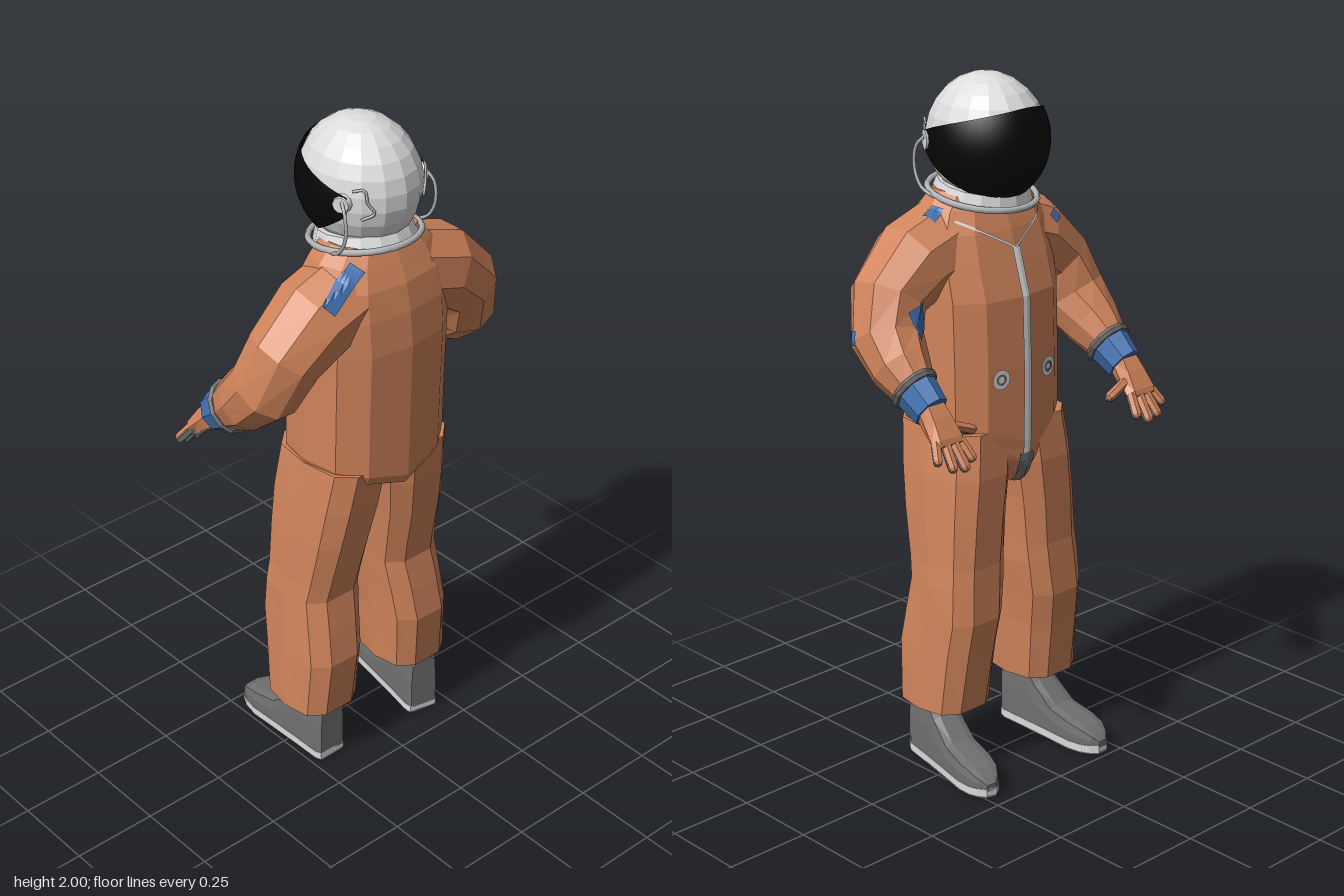
import * as THREE from 'three';
import { ParametricGeometry } from 'three/addons/geometries/ParametricGeometry.js';

const V = (x, y, z) => new THREE.Vector3(x, y, z);
const CX = -0.012; // the body's own centre line

const paint = (name, color, side = THREE.FrontSide) => {
  const m = new THREE.MeshStandardMaterial({ color, side });
  m.name = name;
  return m;
};

// faceted normals
function facet(geo) {
  const g = geo.index ? geo.toNonIndexed() : geo;
  g.computeVertexNormals();
  return g;
}

// closed skin through rings of equal point count, oriented outward
function loft(rings) {
  const n = rings[0].length, pts = rings.flat(), idx = [];
  for (let i = 0; i < rings.length - 1; i++)
    for (let j = 0; j < n; j++) {
      const a = i * n + j, b = i * n + (j + 1) % n;
      idx.push(a, a + n, b + n, a, b + n, b);
    }
  const last = (rings.length - 1) * n;
  for (let j = 1; j < n - 1; j++) idx.push(0, j, j + 1, last, last + j + 1, last + j);
  let volume = 0;
  for (let i = 0; i < idx.length; i += 3)
    volume += pts[idx[i]].dot(pts[idx[i + 1]].clone().cross(pts[idx[i + 2]]));
  if (volume < 0) idx.reverse();
  const g = new THREE.BufferGeometry().setFromPoints(pts);
  g.setIndex(idx);
  return facet(g);
}

// horizontal rounded-box ring; drop lowers it towards the middle
function ring(y, x0, x1, z0, z1, n, power, drop = 0) {
  const soft = v => Math.sign(v) * Math.abs(v) ** (2 / power);
  return Array.from({ length: n }, (_, i) => {
    const a = i / n * Math.PI * 2, c = soft(Math.cos(a));
    return V((x0 + x1) / 2 + (x1 - x0) / 2 * c, y - drop * (1 - Math.abs(c)), (z0 + z1) / 2 + (z1 - z0) / 2 * soft(Math.sin(a)));
  });
}

// oval rings that follow a path of [point, radius across, radius in depth]
function limb(path, n) {
  return loft(path.map(([p, ru, rw], i) => {
    const t = path[Math.min(i + 1, path.length - 1)][0].clone().sub(path[Math.max(i - 1, 0)][0]).normalize();
    const u = t.clone().cross(V(0, 0, 1)).normalize(), w = t.clone().cross(u);
    return Array.from({ length: n }, (_, j) => {
      const a = j / n * Math.PI * 2;
      return p.clone().addScaledVector(u, ru * Math.cos(a)).addScaledVector(w, rw * Math.sin(a));
    });
  }));
}

export function createModel() {
  const root = new THREE.Group();
  root.name = 'astronaut';
  const orange = paint('suit orange', 0xd0845b);
  const blue = paint('patch blue', 0x3f70b0, THREE.DoubleSide);
  const gray = paint('rubber gray', 0x707070);
  const white = paint('helmet white', 0xdcdcdc, THREE.DoubleSide);
  const silver = paint('metal silver', 0xb4b6b8, THREE.DoubleSide);
  const black = paint('visor black', 0x060606, THREE.DoubleSide);
  const add = (name, geo, mat, parent = root) => {
    const m = new THREE.Mesh(geo, mat);
    m.name = name;
    parent.add(m);
    return m;
  };
  const tube = (name, pts, r, mat, parent) =>
    add(name, new THREE.TubeGeometry(new THREE.CatmullRomCurve3(pts), 16, r, 6), mat, parent);

  // torso, ending in a point at the crotch: [y, half width, front z, back z, drop]
  const torso = add('torso', loft([
    [0.86, 0.03, -0.07, 0.1, 0], [0.95, 0.12, -0.09, 0.19, 0.03], [1.015, 0.21, -0.09, 0.255, 0.06], [1.045, 0.222, -0.092, 0.268, 0.06],
    [1.2, 0.222, -0.092, 0.272, 0], [1.4, 0.222, -0.085, 0.278, 0], [1.5, 0.222, -0.055, 0.267, 0],
    [1.58, 0.21, -0.03, 0.25, 0], [1.64, 0.178, -0.005, 0.222, 0], [1.685, 0.135, 0.01, 0.2, 0]
  ].map(([y, w, f, b, d]) => ring(y, CX - w, CX + w, f, b, 12, 2.5, d))), orange);

  // trouser legs: [y, inner x, outer x, front z, back z]
  const legs = [1, -1].map(s => add('trouserLeg', loft([
    [0.2, 0.055, 0.27, -0.06, 0.18], [0.38, 0.045, 0.262, -0.085, 0.197], [0.48, 0.036, 0.256, -0.1, 0.18],
    [0.58, 0.024, 0.25, -0.092, 0.158], [0.64, 0.02, 0.243, -0.088, 0.17], [0.78, 0.008, 0.235, -0.09, 0.203],
    [0.9, -0.01, 0.225, -0.09, 0.226], [1.03, -0.02, 0.208, -0.078, 0.245]
  ].map(([y, a, b, f, k]) => s > 0 ? ring(y, a, b, f, k, 10, 2.9) : ring(y, 2 * CX - b, 2 * CX - a, f, k, 10, 2.9))), orange));

  // boots: [z, half width, top height]
  const last = [[0.145, 0.042, 0.195], [0.125, 0.049, 0.2], [0.03, 0.05, 0.2], [0, 0.051, 0.165], [-0.07, 0.053, 0.108],
    [-0.15, 0.056, 0.09], [-0.195, 0.048, 0.078], [-0.222, 0.034, 0.062], [-0.24, 0.015, 0.045]];
  const slab = (y0, y1, grow) => loft(last.map(([z, w]) =>
    [V(-w - grow, y0, z), V(w + grow, y0, z), V(w + grow, y1, z), V(-w - grow, y1, z)]));
  for (const s of [1, -1]) {
    const boot = new THREE.Group();
    boot.name = 'boot';
    add('bootUpper', loft(last.map(([z, w, h]) => [[-1, 0], [1, 0], [1, 0.55], [0.9, 0.92], [0.5, 1], [-0.5, 1], [-0.9, 0.92], [-1, 0.55]]
      .map(([a, b]) => V(a * w, 0.025 + b * (h - 0.025), z)))), gray, boot);
    add('soleRim', slab(0.01, 0.032, 0.002), white, boot);
    add('tread', slab(0.004, 0.012, 0), gray, boot);
    for (let i = 0; i < 8; i++)
      add('treadBar', new THREE.BoxGeometry(0.076, 0.006, 0.008), silver, boot).position.set(0, 0.003, 0.125 - i * 0.045);
    boot.position.set(s > 0 ? 0.187 : -0.185, 0, s > 0 ? 0.026 : 0);
    boot.rotation.y = s > 0 ? -0.2 : 0;
    root.add(boot);
  }

  // sleeves, cuffs and gloves; the -x arm reaches a little lower and further forward
  const sleeves = [1, -1].map(s => {
    const path = [
      [0.08, 1.545, 0.12, 0.125, 0.125], [0.215, 1.5, 0.122, 0.123, 0.123], [0.308, 1.42, 0.118, 0.108, 0.108],
      [0.343, 1.32, 0.085, 0.1, 0.103], [0.353, 1.255, 0.018, 0.082, 0.088], [0.355, 1.21, -0.038, 0.058, 0.068]
    ].map(([x, y, z, ru, rw], i) => {
      const t = s < 0 ? i / 5 : 0;
      return [V(s * x, y - 0.02 * t, z - 0.035 * t), ru, rw];
    });
    const sleeve = add('sleeve', limb(path, 9), orange);

    const arm = new THREE.Group();
    arm.name = 'gloveAndCuff';
    arm.position.copy(path[5][0]);
    arm.rotation.x = -0.64;
    arm.scale.x = s;
    root.add(arm);
    add('cuffRing', facet(new THREE.TorusGeometry(0.056, 0.012, 6, 12).scale(1, 1.17, 1)), gray, arm);
    add('cuff', facet(new THREE.CylinderGeometry(0.048, 0.058, 0.085, 8).rotateX(-Math.PI / 2).scale(1, 1.18, 1)), blue, arm).position.z = -0.04;

    // glove: orange back, gray pads under the palm and fingers
    const hand = new THREE.Group();
    hand.name = 'glove';
    hand.position.z = -0.075;
    hand.rotation.x = -0.16;
    arm.add(hand);
    const palm = rows => loft(rows.map(([z, w, h]) =>
      [[-1, 0], [-0.7, 1], [0.7, 1], [1, 0], [0.7, -1], [-0.7, -1]].map(([a, b]) => V(a * w, b * h, z))));
    add('gloveBack', palm([[0.01, 0.038, 0.034], [-0.045, 0.046, 0.029], [-0.1, 0.056, 0.02], [-0.115, 0.05, 0.013]]), orange, hand);
    add('glovePalm', palm([[-0.05, 0.036, 0.024], [-0.1, 0.052, 0.019], [-0.114, 0.046, 0.012]]), gray, hand).position.y = -0.008;
    for (const [name, mat, y] of [['fingerBack', orange, 0.003], ['fingerPad', gray, -0.003]])
      // fingers, then thumb: [x, z, yaw, length, radius]
      for (const [x, z, yaw, len, r] of [[-0.04, -0.098, 0.2, 0.07, 0.0135], [-0.014, -0.105, 0.05, 0.082, 0.014],
        [0.013, -0.103, -0.12, 0.077, 0.0135], [0.039, -0.09, -0.35, 0.064, 0.0125], [-0.024, -0.055, 1.22, 0.092, 0.0145]]) {
        const g = new THREE.CapsuleGeometry(r, len - r, 2, 6).translate(0, len / 2, 0).rotateX(-Math.PI / 2 - 0.14);
        const f = add(name, facet(g), mat, hand);
        f.position.set(x, y, z);
        f.rotation.y = yaw;
      }
    return sleeve;
  });

  // helmet shell and visor share one ellipsoid
  const helmet = new THREE.Group();
  helmet.name = 'helmet';
  helmet.position.set(CX, 1.82, 0.067);
  root.add(helmet);
  add('helmetShell', facet(new THREE.SphereGeometry(1, 16, 11, 0, Math.PI * 2, 0, 2.68).scale(0.155, 0.18, 0.18)), white, helmet);
  const rad = Math.PI / 180;
  add('visor', new ParametricGeometry((u, v, p) => {
    const phi = (u * 2 - 1) * 123 * rad, k = Math.abs(u * 2 - 1);
    const top = (34 - 27 * k ** 1.6) * rad, low = (-64 + 54 * k ** 1.9) * rad;
    const e = low + (top - low) * v;
    p.set(0.164 * Math.cos(e) * Math.sin(phi), 0.184 * Math.sin(e), -0.186 * Math.cos(e) * Math.cos(phi));
  }, 28, 10), black, helmet);

  // collar and neck ring, tilted down to the front
  const collar = new THREE.Group();
  collar.name = 'collar';
  collar.position.set(CX, 1.667, 0.085);
  collar.rotation.x = -0.15;
  root.add(collar);
  add('neckRing', new THREE.TorusGeometry(0.148, 0.009, 6, 28).rotateX(Math.PI / 2).scale(1, 1, 1.05), silver, collar);
  add('neckSeal', facet(new THREE.CylinderGeometry(0.128, 0.14, 0.04, 16)), white, collar).position.y = 0.012;

  // visor hinges, hoses and rear latches
  for (const s of [1, -1]) {
    const hinge = add('visorHinge', new THREE.CylinderGeometry(0.022, 0.028, 0.018, 10).rotateZ(Math.PI / 2), white, helmet);
    hinge.position.set(s * 0.14, 0, 0.085);
    hinge.rotation.y = -s * 0.5;
    tube('hose', [V(s * 0.144, 0.01, 0.09), V(s * 0.155, -0.02, 0.115), V(s * 0.157, -0.08, 0.12),
      V(s * 0.156, -0.13, 0.095), V(s * 0.145, -0.155, 0.05)], 0.005, silver, helmet);
    tube('latch', [V(s * 0.125, 0.04, 0.11), V(s * 0.105, 0.045, 0.135), V(s * 0.1, 0.01, 0.141),
      V(s * 0.085, -0.02, 0.152), V(s * 0.11, -0.04, 0.128)], 0.004, silver, helmet);
  }

  // thin plates laid on the suit along a viewing direction
  const suit = [torso, ...legs, ...sleeves];
  const caster = new THREE.Raycaster();
  function plate(name, geo, mat, at, dir, roll = 0, lift = 0.004) {
    const d = dir.normalize(), n = d.clone().negate();
    const right = V(0, 1, 0).cross(n).normalize().applyAxisAngle(n, roll), up = n.clone().cross(right);
    const pos = geo.attributes.position, start = at.clone().addScaledVector(d, -0.6);
    let depth = 0.6;
    for (let i = 0; i < pos.count; i++) {
      const p = start.clone().addScaledVector(right, pos.getX(i)).addScaledVector(up, pos.getY(i));
      caster.set(p, d);
      const hit = caster.intersectObjects(suit)[0];
      if (hit) depth = hit.distance;
      p.addScaledVector(d, depth - lift);
      pos.setXYZ(i, p.x, p.y, p.z);
    }
    return add(name, facet(geo), mat);
  }
  const sheet = (w, h, nx = 5, ny = 5) => new THREE.PlaneGeometry(w, h, nx, ny);
  const ahead = () => V(0, 0, 1);
  plate('zipper', sheet(0.028, 0.59, 2, 40), white, V(CX, 1.24, -0.1), ahead(), 0, 0.007);
  plate('zipperGuard', sheet(0.055, 0.09, 4, 8), gray, V(CX, 0.905, -0.1), ahead(), 0, 0.008);
  for (const s of [1, -1]) {
    const at = V(CX + s * 0.09, 1.18, -0.1);
    plate('valveRim', new THREE.RingGeometry(0.016, 0.029, 14), white, at, ahead(), 0, 0.007);
    plate('valveGap', new THREE.CircleGeometry(0.016, 12), gray, at, ahead(), 0, 0.005);
    plate('valveCore', new THREE.CircleGeometry(0.01, 8), white, at, ahead(), 0, 0.008);
    // cord from collar to zipper top
    plate('cord', sheet(0.18, 0.007, 12, 1), white, V(CX + s * 0.078, 1.575, -0.03), ahead(), -s * 0.5);
  }
  plate('backShoulderPatch', sheet(0.14, 0.045), blue, V(-0.19, 1.605, 0.2), V(0.2, -0.5, -1), 0.7);
  plate('shoulderPatch', sheet(0.04, 0.045), blue, V(0.172, 1.63, 0.082), V(-0.3, -1, 0.05));
  plate('upperArmPatch', sheet(0.045, 0.04), blue, V(0.43, 1.33, 0.125), V(-1, -0.1, 0), 0.2);
  plate('frontArmPatch', sheet(0.06, 0.08), blue, V(0.292, 1.375, 0.01), V(-0.1, -0.1, 1), 0.3);
  plate('chestPatch', sheet(0.032, 0.032), blue, V(-0.235, 1.575, 0.0), V(0.15, -0.4, 1), 0.5);
  return root;
}
